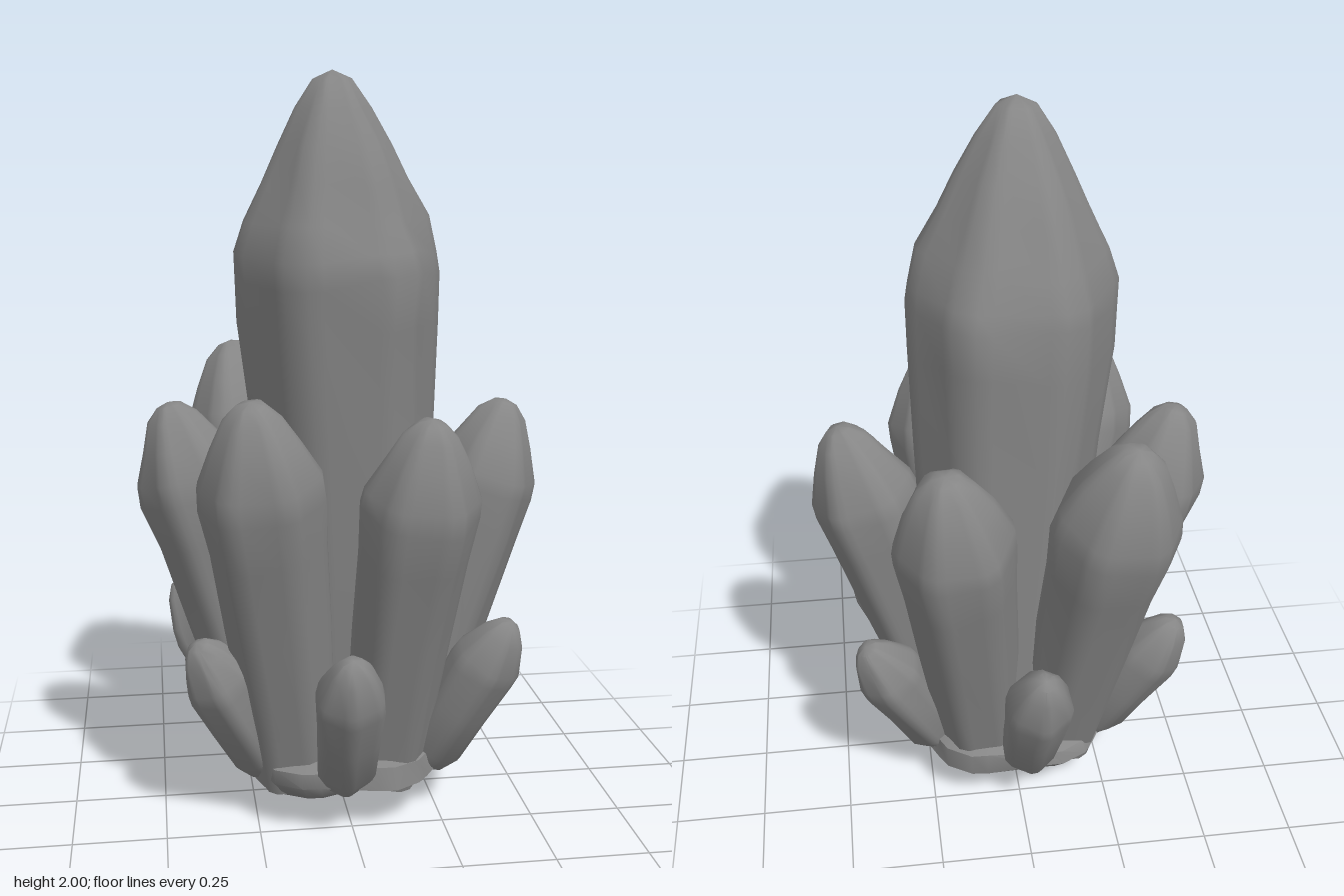
import * as THREE from 'three';
import { toCreasedNormals } from 'three/addons/utils/BufferGeometryUtils.js';

const material = new THREE.MeshStandardMaterial({ color: 0x868686 });

// Repeatable noise in -1..1
function noise(a, b, c) {
  const s = Math.sin(a * 12.9898 + b * 78.233 + c * 37.719) * 43758.5453;
  return (s - Math.floor(s)) * 2 - 1;
}

// Four points per hexagon corner: two on the bevel, two on the neighbouring flats
const cornerAngles = [-15, -7, 7, 15].map(THREE.MathUtils.degToRad);
const flatDistance = Math.cos(THREE.MathUtils.degToRad(23));

// Lathe reshaped into a bevelled hexagonal prism with worn, uneven corners
function roughPrism(profile, spin, seed, chip) {
  const sides = 24;
  const geo = new THREE.LatheGeometry(profile.map(([r, y]) => new THREE.Vector2(r, y)), sides);
  const pos = geo.attributes.position;
  for (let n = 0; n < pos.count; n++) {
    const j = n % profile.length;
    const i = Math.floor(n / profile.length) % sides;
    const corner = Math.floor(i / 4);
    const offset = cornerAngles[i % 4];
    const [r, y] = profile[j];
    const angle = corner * Math.PI / 3 + offset + spin + noise(corner, 2, seed) * chip;
    const wear = 1 + noise(corner, j, seed) * chip + noise(i, j, seed + 5) * chip * 0.25;
    const radius = r * wear * flatDistance / Math.cos(Math.PI / 6 - Math.abs(offset));
    const lift = r * noise(corner, j, seed + 9) * chip * 2;
    pos.setXYZ(n, Math.sin(angle) * radius, y + lift, Math.cos(angle) * radius);
  }
  geo.deleteAttribute('uv');
  geo.deleteAttribute('normal');
  return toCreasedNormals(geo, 0.8);
}

// Crystal outlines as [fraction of radius, fraction of length]
const spireProfile = [
  [0.65, 0], [0.8, 0.25], [0.9, 0.52], [0.97, 0.66], [1, 0.73], [0.97, 0.76],
  [0.86, 0.8], [0.7, 0.855], [0.54, 0.905], [0.35, 0.95], [0.18, 0.988], [0, 1],
];
const shardProfile = [
  [0, 0], [0.7, 0], [0.76, 0.18], [0.84, 0.42], [0.93, 0.64], [1, 0.76],
  [0.95, 0.81], [0.7, 0.895], [0.45, 0.96], [0.22, 0.992], [0, 1],
];
const budProfile = [
  [0, 0], [0.6, 0], [0.85, 0.12], [0.9, 0.4], [1, 0.66],
  [0.95, 0.74], [0.6, 0.9], [0.3, 0.98], [0, 1],
];

// Crystal growing from a base point to its tip, one corner facing outward
function crystal(name, outline, base, tip, radius, seed, spin = Math.atan2(tip[0], tip[2])) {
  const from = new THREE.Vector3(...base);
  const axis = new THREE.Vector3(...tip).sub(from);
  const length = axis.length();
  const profile = outline.map(([r, t]) => [r * radius, t * length]);
  const mesh = new THREE.Mesh(roughPrism(profile, spin, seed, 0.03), material);
  mesh.name = name;
  mesh.position.copy(from);
  mesh.quaternion.setFromUnitVectors(new THREE.Vector3(0, 1, 0), axis.normalize());
  return mesh;
}

export function createModel() {
  const model = new THREE.Group();
  model.name = 'crystalCluster';

  // Shallow rocky root that the crystals grow from
  const rootProfile = [
    [0, 0], [0.09, 0.03], [0.19, 0.07], [0.28, 0.105],
    [0.33, 0.14], [0.32, 0.17], [0.22, 0.23], [0, 0.28],
  ];
  const root = new THREE.Mesh(roughPrism(rootProfile, 0.5, 3, 0.035), material);
  root.name = 'rockRoot';
  model.add(root);

  // Tall central spire
  model.add(crystal('centralSpire', spireProfile, [0.04, 0.09, -0.07], [-0.025, 2, 0.04], 0.278, 11, Math.PI / 6));

  // Ring of six medium shards: name, base, tip, radius
  const shards = [
    ['frontRightShard', [-0.14, 0.12, 0.13], [-0.27, 1.2, 0.36], 0.165],
    ['frontLeftShard', [0.1, 0.12, 0.15], [0.18, 1.15, 0.39], 0.155],
    ['leftShard', [0.18, 0.12, 0.015], [0.46, 1.13, 0.02], 0.152],
    ['rightShard', [-0.18, 0.12, 0], [-0.465, 1.14, 0], 0.15],
    ['backRightShard', [-0.13, 0.12, -0.13], [-0.27, 1.25, -0.4], 0.172],
    ['backLeftShard', [0.1, 0.12, -0.14], [0.205, 1.2, -0.38], 0.165],
  ];
  shards.forEach(([name, base, tip, r], k) => model.add(crystal(name, shardProfile, base, tip, r, 20 + k)));

  // Outer ring of six small buds
  const buds = [
    ['frontBud', [-0.02, 0.14, 0.25], [-0.03, 0.56, 0.465]],
    ['frontLeftBud', [0.22, 0.14, 0.14], [0.425, 0.575, 0.275]],
    ['backLeftBud', [0.22, 0.14, -0.12], [0.425, 0.57, -0.225]],
    ['backBud', [-0.02, 0.14, -0.25], [-0.04, 0.6, -0.465]],
    ['backRightBud', [-0.23, 0.14, -0.12], [-0.445, 0.575, -0.225]],
    ['frontRightBud', [-0.22, 0.14, 0.12], [-0.41, 0.545, 0.24]],
  ];
  buds.forEach(([name, base, tip], k) => model.add(crystal(name, budProfile, base, tip, 0.096, 40 + k)));

  return model;
}
